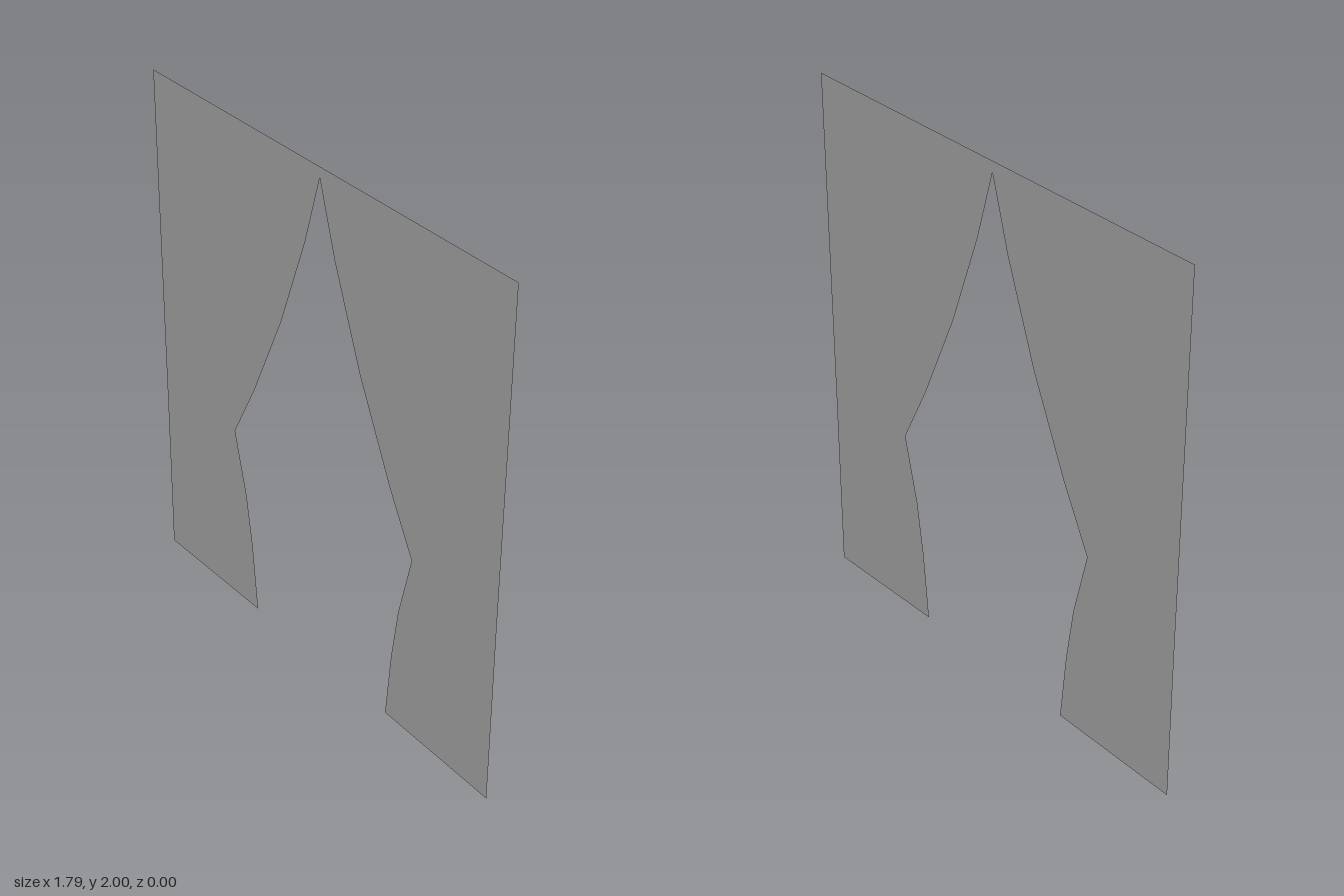
import * as THREE from 'three';

// Inner edge of one curtain, from the top of the parting down to the hem
const innerEdge = [
  [0, 1.96], [0.075, 1.7], [0.205, 1.34], [0.36, 0.99],
  [0.48, 0.755], [0.42, 0.5], [0.39, 0.29], [0.365, 0.015],
];

// Outer edge of each curtain, from the hem up to the rail
const leftOuter = [[0.89, 0], [0.89, 0.75], [0.895, 2]];
const rightOuter = [[0.9, 0.015], [0.895, 0.65], [0.89, 2]];

const cloth = new THREE.MeshStandardMaterial({ color: 0xcccccc, side: THREE.DoubleSide });

// One flat cloth panel; side is +1 for the left curtain, -1 for the right
function curtain(name, side, outerEdge) {
  const outline = [[0, 2], ...innerEdge, ...outerEdge];
  const shape = new THREE.Shape(outline.map(([x, y]) => new THREE.Vector2(side * x, y)));
  const mesh = new THREE.Mesh(new THREE.ShapeGeometry(shape), cloth);
  mesh.name = name;
  return mesh;
}

export function createModel() {
  const group = new THREE.Group();
  group.name = 'curtains';
  group.add(
    curtain('leftCurtain', 1, leftOuter),
    curtain('rightCurtain', -1, rightOuter),
  );
  return group;
}
